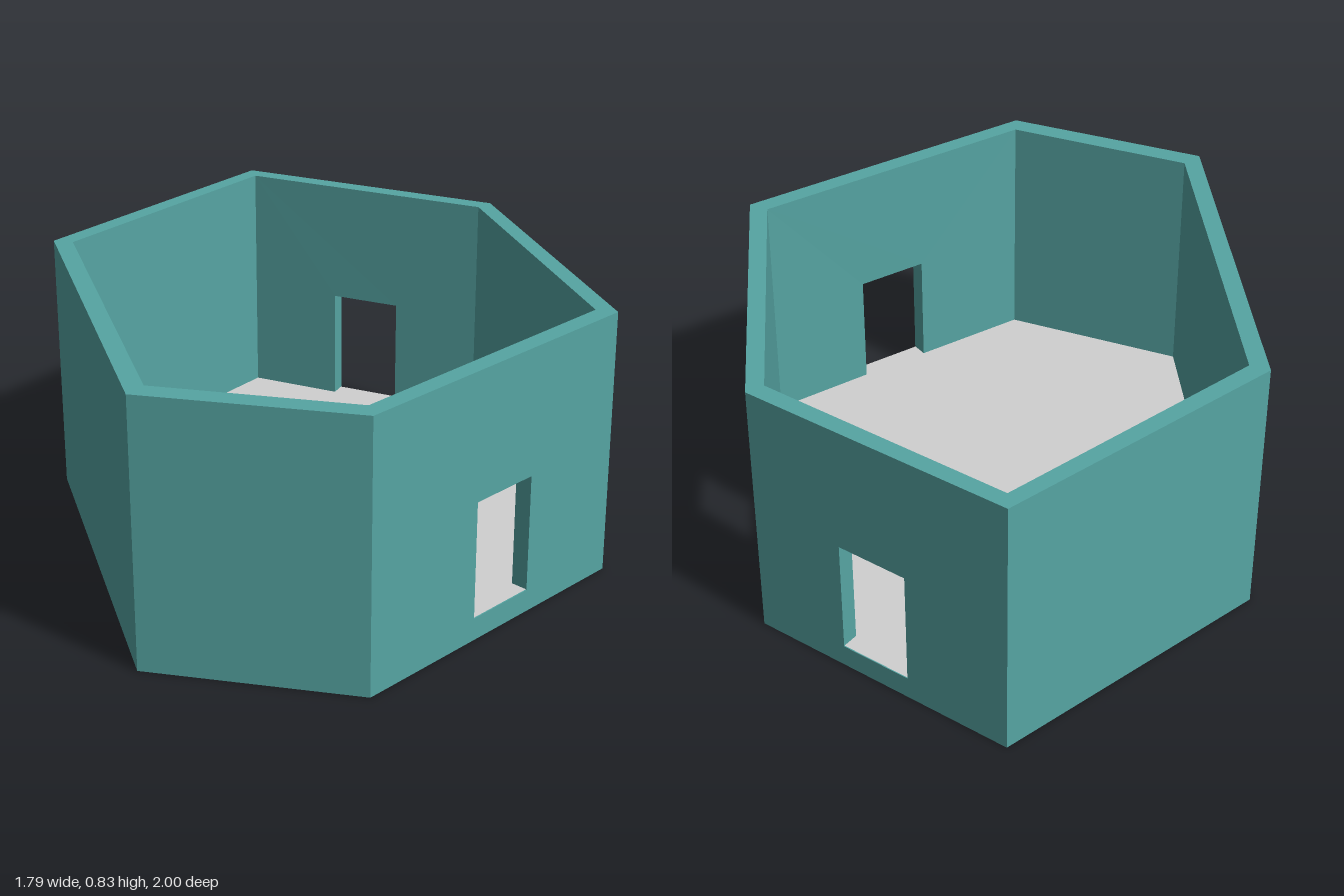
import * as THREE from 'three';

const HEIGHT = 0.83, FLOOR = 0.07, DOOR_TOP = 0.435, THICK = 0.054;

// Corners in plan [x, z], anticlockwise seen from above, starting at the front
const OUTER = [[-0.305, 1], [0.35, 1], [0.895, 0.125], [0.395, -0.805], [-0.47, -1], [-0.895, -0.13]];
const INNER = [[-0.277, 0.933], [0.325, 0.936], [0.83, 0.12], [0.363, -0.755], [-0.443, -0.94], [-0.832, -0.13]];

// One wall per side; door gives the start and end of its opening along the wall
const WALLS = [
  { name: 'frontWall' },
  { name: 'frontLeftWall', door: [0.415, 0.642] },
  { name: 'backLeftWall', door: [0.473, 0.7] },
  { name: 'backWall', door: [0.35, 0.61] },
  { name: 'backRightWall' },
  { name: 'frontRightWall' },
];

const toVector = ([x, z]) => new THREE.Vector3(x, 0, z);

// Mitred wall: extruded elevation, laid along its side of the plan
function wallGeometry(i, door) {
  const j = (i + 1) % OUTER.length;
  const p = toVector(OUTER[i]), q = toVector(OUTER[j]);
  const length = p.distanceTo(q);
  const along = q.clone().sub(p).normalize();
  const outward = along.clone().cross(new THREE.Vector3(0, 1, 0));

  const points = [[0, FLOOR]];
  if (door) {
    const [a, b] = door.map((t) => t * length);
    points.push([a, FLOOR], [a, DOOR_TOP], [b, DOOR_TOP], [b, FLOOR]);
  }
  points.push([length, FLOOR], [length, HEIGHT], [0, HEIGHT]);
  const shape = new THREE.Shape(points.map(([x, y]) => new THREE.Vector2(x, y)));
  const geometry = new THREE.ExtrudeGeometry(shape, { depth: 1, bevelEnabled: false });

  const pos = geometry.attributes.position;
  for (let k = 0; k < pos.count; k++) {
    const s = pos.getX(k), y = pos.getY(k), inside = pos.getZ(k) < 0.5;
    let v;
    if (inside && s < 1e-4) v = toVector(INNER[i]);
    else if (inside && s > length - 1e-4) v = toVector(INNER[j]);
    else v = p.clone().addScaledVector(along, s).addScaledVector(outward, inside ? -THICK : 0);
    pos.setXYZ(k, v.x, y, v.z);
  }
  geometry.computeVertexNormals();
  return geometry;
}

export function createModel() {
  const teal = new THREE.MeshStandardMaterial({ color: 0x56a5a3 });
  teal.name = 'teal';
  const grey = new THREE.MeshStandardMaterial({ color: 0xd0d0d0 });
  grey.name = 'lightGrey';

  const model = new THREE.Group();
  model.name = 'hexagonalRoom';
  const add = (name, geometry, material) => {
    const mesh = new THREE.Mesh(geometry, material);
    mesh.name = name;
    model.add(mesh);
    return mesh;
  };

  // Base slab under walls and floor
  const outline = new THREE.Shape(OUTER.map(([x, z]) => new THREE.Vector2(x, -z)));
  const slab = new THREE.ExtrudeGeometry(outline, { depth: FLOOR, bevelEnabled: false });
  add('baseSlab', slab.rotateX(-Math.PI / 2), teal);

  // Floor surface, running out through the doorways
  const floor = new THREE.ShapeGeometry(outline).rotateX(-Math.PI / 2).scale(0.998, 1, 0.998);
  add('floor', floor, grey).position.y = FLOOR + 0.002;

  // Walls
  WALLS.forEach(({ name, door }, i) => add(name, wallGeometry(i, door), teal));

  return model;
}
